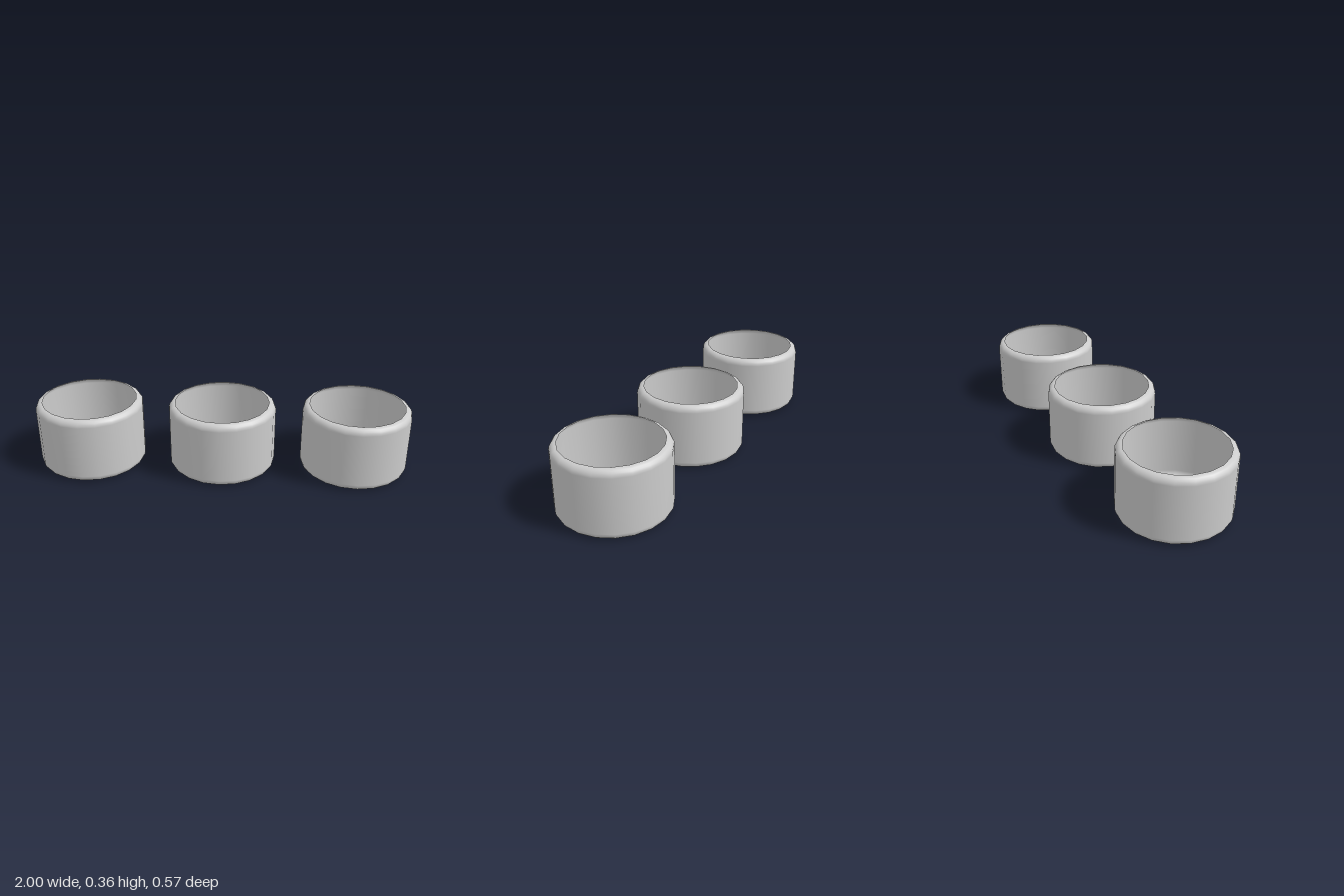
import * as THREE from 'three';

const HEIGHT = 0.357, OUTER = 0.286, LIP = 0.036, SIDES = 20;

// Quarter-round edge points around a centre, from angle a to angle b
function roundedEdge(cx, cy, a, b, steps = 5) {
  return Array.from({ length: steps + 1 }, (_, i) => {
    const t = a + (b - a) * i / steps;
    return new THREE.Vector2(cx + LIP * Math.cos(t), cy + LIP * Math.sin(t));
  });
}

export function createModel() {
  const model = new THREE.Group();
  model.name = 'ringRow';
  const material = new THREE.MeshStandardMaterial({ color: 0xcccccc, side: THREE.DoubleSide });

  // Thin open shell whose lips curl inward at bottom and top
  const profile = [
    ...roundedEdge(OUTER - LIP, LIP, -Math.PI / 2, 0),
    ...roundedEdge(OUTER - LIP, HEIGHT - LIP, 0, Math.PI / 2),
  ];
  const shell = new THREE.LatheGeometry(profile, SIDES);

  // Three identical open rings in a row
  ['rightRing', 'middleRing', 'leftRing'].forEach((name, i) => {
    const ring = new THREE.Mesh(shell, material);
    ring.name = name;
    ring.position.x = (i - 1) * (1 - OUTER);
    model.add(ring);
  });
  return model;
}
